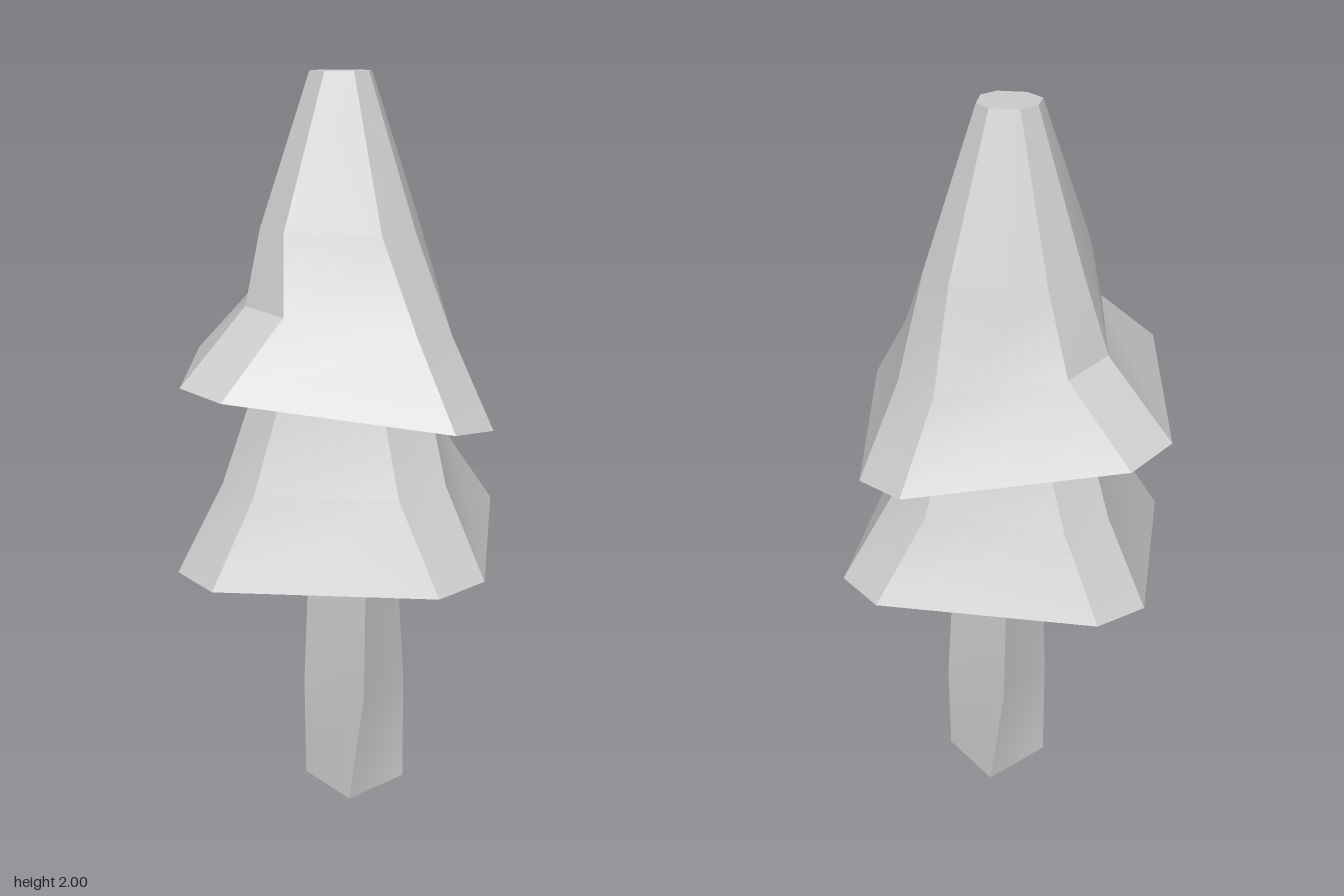
import * as THREE from 'three';
import { toCreasedNormals } from 'three/addons/utils/BufferGeometryUtils.js';

const material = new THREE.MeshStandardMaterial({ color: 0xcccccc, side: THREE.DoubleSide });

// A ring is a list of [x, z] corners on a tilted plane y = h + sx * x + sz * z
function ring(corners, h, sx = 0, sz = 0) {
  return corners.map(([x, z]) => new THREE.Vector3(x, h + sx * x + sz * z, z));
}

// Shell through rings listed from bottom to top, open below, optionally capped on top
function shell(name, rings, capped) {
  const points = [];
  const n = rings[0].length;
  for (let r = 0; r < rings.length - 1; r++) {
    const a = rings[r], b = rings[r + 1];
    for (let i = 0; i < n; i++) {
      const j = (i + 1) % n;
      points.push(a[j], a[i], b[i], a[j], b[i], b[j]);
    }
  }
  if (capped) {
    const top = rings[rings.length - 1];
    for (let i = 1; i < n - 1; i++) points.push(top[0], top[i + 1], top[i]);
  }
  const geometry = toCreasedNormals(new THREE.BufferGeometry().setFromPoints(points), 0.44);
  const mesh = new THREE.Mesh(geometry, material);
  mesh.name = name;
  return mesh;
}

export function createModel() {
  const tree = new THREE.Group();
  tree.name = 'tree';

  // Four-sided trunk, slightly twisted and bulging; corners run back left, back right, front right, front left
  tree.add(shell('trunk', [
    ring([[-0.07, -0.085], [0.135, -0.105], [0.15, 0.095], [-0.055, 0.115]], 0),
    ring([[-0.09, -0.06], [0.1, -0.125], [0.17, 0.065], [-0.02, 0.135]], 0.31),
    ring([[-0.075, -0.05], [0.08, -0.113], [0.15, 0.045], [0, 0.116]], 0.76),
    ring([[-0.065, -0.04], [0.07, -0.1], [0.135, 0.035], [0.005, 0.1]], 1.1),
  ], true));

  // Lower skirt of branches: a square with cut corners, flared at the hem
  tree.add(shell('lowerFoliage', [
    ring([[-0.1, -0.485], [0.055, -0.49], [0.485, -0.11], [0.495, 0.05],
      [0.11, 0.48], [-0.045, 0.49], [-0.475, 0.105], [-0.485, -0.055]], 0.758, 0.055, -0.035),
    ring([[-0.085, -0.34], [0.06, -0.345], [0.325, -0.1], [0.335, 0.05],
      [0.09, 0.34], [-0.065, 0.345], [-0.335, 0.085], [-0.345, -0.055]], 0.972, 0.06, -0.02),
    ring([[-0.07, -0.235], [0.06, -0.235], [0.235, -0.08], [0.235, 0.04],
      [0.1, 0.23], [-0.05, 0.235], [-0.235, 0.08], [-0.24, -0.04]], 1.23),
  ], true));

  // Upper cone with a tilted, flared hem and a small flat top
  tree.add(shell('upperFoliage', [
    ring([[-0.18, -0.46], [-0.03, -0.49], [0.435, -0.17], [0.465, -0.02],
      [0.15, 0.45], [0, 0.485], [-0.47, 0.165], [-0.5, 0.015]], 1.178, -0.14, -0.05),
    ring([[-0.11, -0.28], [0.03, -0.305], [0.3, -0.12], [0.32, 0.02],
      [0.14, 0.29], [0, 0.325], [-0.27, 0.135], [-0.295, -0.005]], 1.385, -0.145, -0.045),
    ring([[-0.075, -0.22], [0.04, -0.23], [0.22, -0.07], [0.225, 0.04],
      [0.07, 0.225], [-0.04, 0.23], [-0.225, 0.07], [-0.23, -0.035]], 1.61, -0.02),
    ring([[-0.035, -0.075], [0.02, -0.08], [0.075, -0.03], [0.075, 0.025],
      [0.03, 0.075], [-0.02, 0.08], [-0.075, 0.03], [-0.08, -0.03]], 2),
  ], true));

  return tree;
}
